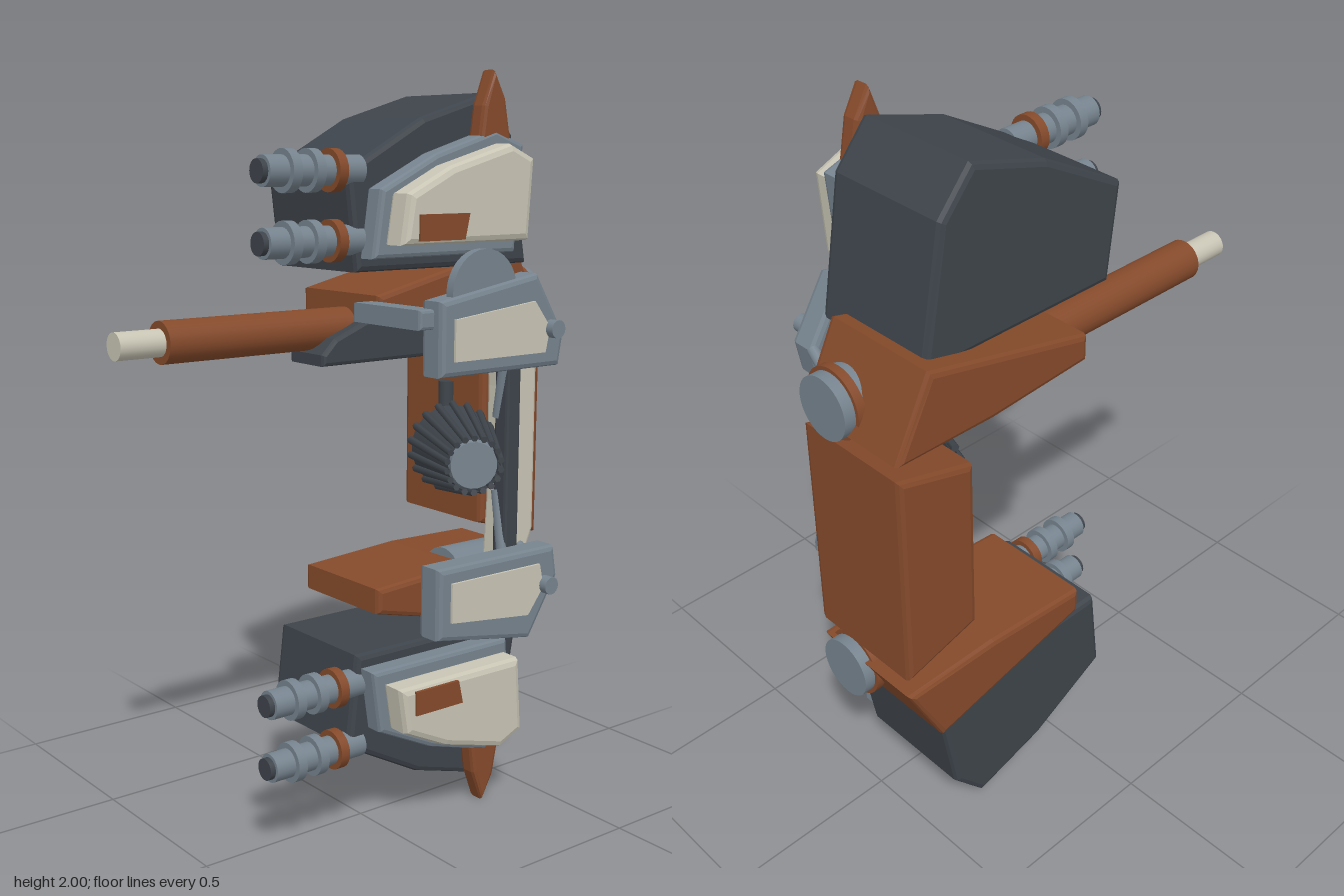
import * as THREE from 'three';

const mat = (name, hex) => {
  const m = new THREE.MeshStandardMaterial({ color: hex });
  m.name = name;
  return m;
};

export function createModel() {
  const model = new THREE.Group();
  model.name = 'ringCraft';
  const dark = mat('charcoal', 0x3e444b);
  const grey = mat('steelGrey', 0x76838e);
  const cream = mat('cream', 0xc9c5b5);
  const rust = mat('rust', 0x854a2b);
  const V = (x, y, z) => new THREE.Vector3(x, y, z);

  const add = (name, geo, material) => {
    const mesh = new THREE.Mesh(geo, material);
    mesh.name = name;
    model.add(mesh);
    return mesh;
  };

  // Bevelled plate: an x-y outline running from z0 to z1
  const plate = (name, pts, z0, z1, material, bevel = 0.015) => {
    const shape = new THREE.Shape(pts.map(([x, y]) => new THREE.Vector2(x, y)));
    const geo = new THREE.ExtrudeGeometry(shape, {
      depth: z1 - z0 - 2 * bevel, bevelEnabled: bevel > 0, bevelSegments: 2,
      bevelSize: bevel, bevelThickness: bevel, bevelOffset: -bevel,
    });
    geo.translate(0, 0, z0 + bevel);
    return add(name, geo, material);
  };

  // Cylinder or cone between two points
  const rod = (name, a, b, r0, r1, material, sides = 24, open = false) => {
    const d = b.clone().sub(a);
    const mesh = add(name, new THREE.CylinderGeometry(r1, r0, d.length(), sides, 1, open), material);
    mesh.position.copy(a).add(b).multiplyScalar(0.5);
    mesh.quaternion.setFromUnitVectors(V(0, 1, 0), d.normalize());
    return mesh;
  };

  const box = (name, x0, x1, y0, y1, z0, z1, material, bevel = 0.008) =>
    plate(name, [[x0, y0], [x1, y0], [x1, y1], [x0, y1]], z0, z1, material, bevel);

  // Parts repeated above and below the middle plane y = 1
  for (const top of [true, false]) {
    const side = top ? 'upper' : 'lower';
    const Y = (y) => (top ? y : 2 - y);
    const M = (pts) => pts.map(([x, y]) => [x, Y(y)]);

    // Large pod with layered front cover
    plate(side + 'Pod', M([[-0.08, 1.5], [0.5, 1.5], [0.44, 1.84], [0.35, 1.945], [0.13, 1.88], [-0.11, 1.75]]),
      -0.26, 0.09, dark);
    plate(side + 'PodFrame', M([[-0.07, 1.535], [0.405, 1.535], [0.43, 1.815], [0.33, 1.85], [0.13, 1.79], [-0.045, 1.705]]),
      0.08, 0.145, grey, 0.012);
    plate(side + 'PodCover', M([[-0.035, 1.57], [0.385, 1.57], [0.4, 1.78], [0.32, 1.815], [0.12, 1.76], [-0.015, 1.695]]),
      0.135, 0.22, cream, 0.018);
    plate(side + 'PodStripe', M([[0.01, 1.58], [0.155, 1.58], [0.17, 1.645], [0.01, 1.645]]), 0.218, 0.227, rust, 0);
    plate(side + 'Spike', M([[0.325, 2.0], [0.365, 1.93], [0.39, 1.80], [0.275, 1.80], [0.29, 1.91]]),
      0.09, 0.143, rust, 0.012);

    // Twin guns
    for (const gy of [1.58, 1.75]) {
      const gun = (part, x0, x1, r, m) => rod(side + part, V(x0, Y(gy), 0.065), V(x1, Y(gy), 0.065), r, r, m);
      gun('GunBarrel', -0.345, -0.06, 0.038, grey);
      gun('GunTip', -0.36, -0.34, 0.029, dark);
      gun('GunRing', -0.288, -0.262, 0.053, grey);
      gun('GunRing', -0.218, -0.192, 0.053, grey);
      gun('GunBand', -0.152, -0.126, 0.053, rust);
    }

    // Arm and hinge drum
    plate(side + 'Arm', M([[0.63, 1.345], [0.53, 1.545], [0.045, 1.43], [0.045, 1.36], [0.35, 1.34]]),
      -0.315, 0.02, rust, 0.014);
    rod(side + 'HingeDrum', V(0.36, Y(1.395), -0.08), V(0.645, Y(1.395), -0.08), 0.08, 0.08, grey, 32);
    rod(side + 'HingeBand', V(0.592, Y(1.395), -0.08), V(0.615, Y(1.395), -0.08), 0.09, 0.09, rust, 32);

    // Small front pod
    plate(side + 'FrontPod', M([[0.035, 1.245], [0.445, 1.245], [0.46, 1.33], [0.36, 1.49], [0.035, 1.435]]),
      0.2, 0.28, grey, 0.014);
    plate(side + 'FrontPodPanel', M([[0.075, 1.285], [0.385, 1.285], [0.4, 1.35], [0.345, 1.42], [0.075, 1.39]]),
      0.278, 0.287, cream, 0);
    rod(side + 'FrontPin', V(0.408, Y(1.345), 0.27), V(0.408, Y(1.345), 0.31), 0.024, 0.024, grey, 16);
    box(side + 'FrontPodRail', 0.1, 0.38, Y(1.34) - 0.022, Y(1.34) + 0.022, 0.165, 0.21, dark);

    // Struts tying the front pod to the spine
    rod(side + 'Strut', V(0.45, Y(1.33), 0.21), V(0.49, Y(1.24), 0.02), 0.016, 0.016, grey, 12);
    rod(side + 'Strut', V(0.34, Y(1.36), 0.2), V(0.35, Y(1.1), 0.15), 0.016, 0.016, grey, 12);
    rod(side + 'SpineStub', V(0.45, Y(1.22), 0.04), V(0.53, Y(1.24), 0.04), 0.022, 0.022, dark, 12);
  }

  // Spine block with its inner bar
  plate('spine', [[0.63, 1.305], [0.63, 0.71], [0.41, 0.77], [0.41, 1.245]], -0.315, 0.02, rust);
  rod('spineInnerBar', V(0.4, 0.86, -0.12), V(0.4, 1.16, -0.12), 0.022, 0.022, dark, 16);

  // Cream fin, dark bar behind it and dark post in front
  plate('fin', [[0.42, 1.475], [0.52, 1.25], [0.52, 0.76], [0.42, 0.53], [0.385, 0.6], [0.4, 0.85], [0.4, 1.17], [0.385, 1.4]],
    0.05, 0.12, cream, 0.01);
  rod('finBar', V(0.495, 0.585, 0.063), V(0.495, 1.42, 0.063), 0.028, 0.028, dark, 16);
  box('frontPost', 0.34, 0.39, 0.66, 1.37, 0.145, 0.195, dark);

  // Long main barrel with bracket and wedge
  rod('mainBarrel', V(-0.52, 1.338, -0.13), V(0.2, 1.338, -0.13), 0.054, 0.054, rust, 32);
  rod('mainBarrelTip', V(-0.645, 1.338, -0.13), V(-0.51, 1.338, -0.13), 0.035, 0.035, cream);
  plate('barrelWedge', [[-0.09, 1.25], [0.3, 1.25], [0.3, 1.37], [0.05, 1.36], [-0.05, 1.32], [-0.09, 1.28]],
    -0.19, -0.04, dark, 0.01);
  box('frontBracket', -0.01, 0.05, 1.365, 1.415, -0.02, 0.25, grey);

  // Half-sunk dial above the upper front pod
  rod('dial', V(0.19, 1.45, 0.24), V(0.19, 1.45, 0.265), 0.108, 0.108, grey, 32);

  // Ribbed thruster cone
  const wide = V(0.32, 1, 0.0);
  const narrow = V(0.19, 1, 0.235);
  const shell = dark.clone();
  shell.name = 'charcoalOpen';
  shell.side = THREE.DoubleSide;
  rod('thrusterShell', wide, narrow, 0.115, 0.07, shell, 20, true);
  rod('thrusterCore', wide.clone().lerp(narrow, 0.35), narrow.clone().lerp(wide, 0.02), 0.09, 0.062, grey, 20);
  const axis = narrow.clone().sub(wide).normalize();
  const u = V(0, 1, 0);
  const w = axis.clone().cross(u);
  const RIBS = 18;
  for (let i = 0; i < RIBS; i++) {
    const t = (i / RIBS) * Math.PI * 2;
    const out = u.clone().multiplyScalar(Math.cos(t)).addScaledVector(w, Math.sin(t));
    rod('thrusterRib', wide.clone().addScaledVector(out, 0.118), narrow.clone().addScaledVector(out, 0.072),
      0.011, 0.009, dark, 6);
  }
  rod('thrusterMount', V(0.28, 1, 0.08), V(0.43, 1, 0.0), 0.035, 0.035, dark, 12);

  return model;
}
